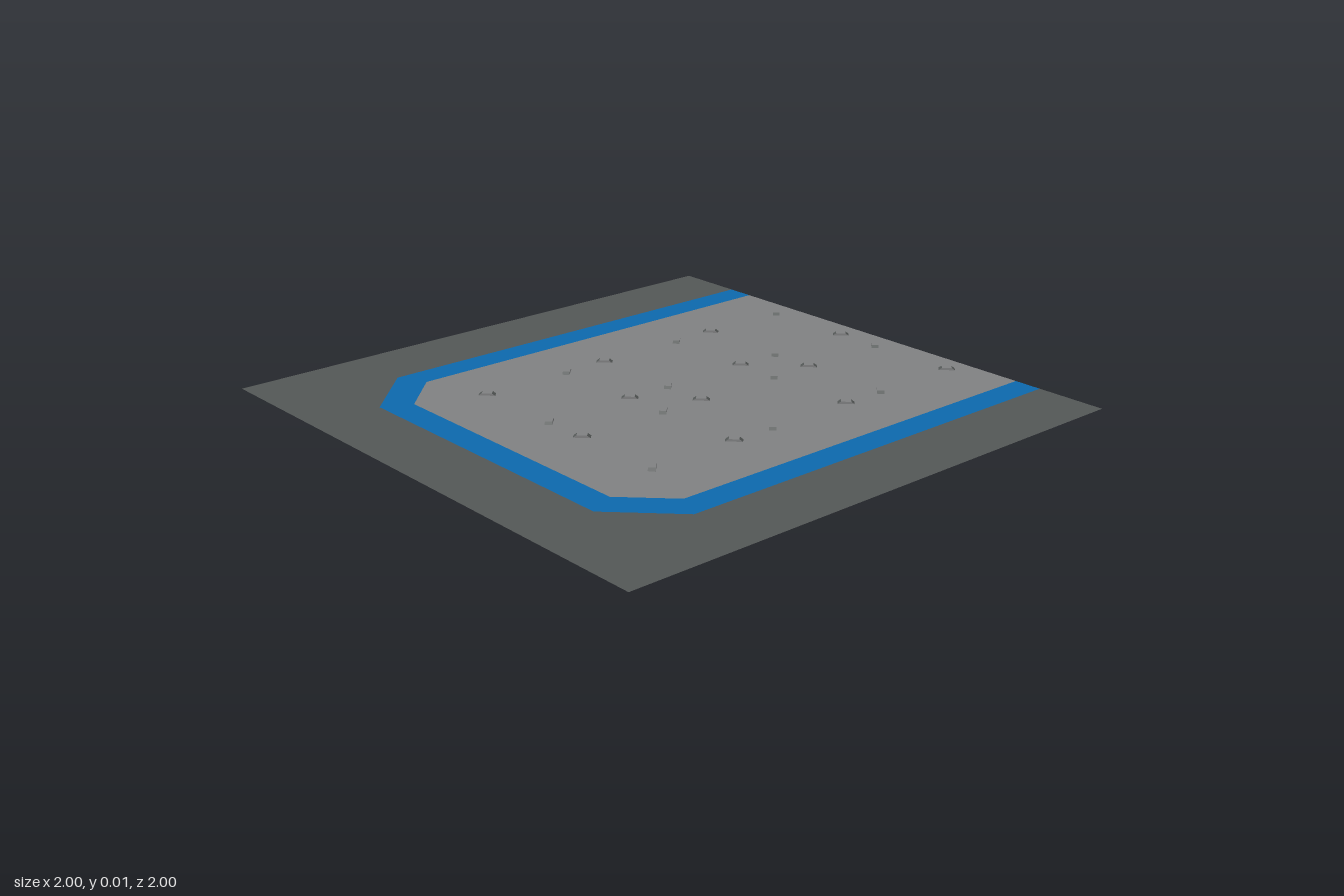
import * as THREE from 'three';

const mat = (name, color, side = THREE.DoubleSide) => {
  const m = new THREE.MeshStandardMaterial({ color, side });
  m.name = name;
  return m;
};

// Flat sheet on y = 0 from [x, z] corners (every outline is symmetric in z)
function sheet(name, points, material) {
  const shape = new THREE.Shape(points.map(([x, z]) => new THREE.Vector2(x, z)));
  const mesh = new THREE.Mesh(new THREE.ShapeGeometry(shape).rotateX(-Math.PI / 2), material);
  mesh.name = name;
  return mesh;
}

// Outline with two chamfered corners on the -x side, open towards +x
const chamfered = (edge, corner) => [
  [1, -edge], [-corner, -edge], [-edge, -corner],
  [-edge, corner], [-corner, edge], [1, edge],
];

export function createModel() {
  const model = new THREE.Group();
  model.name = 'landingPad';
  const dark = mat('dark grey', 0x535756);
  const blue = mat('blue', 0x0d68ac);
  const grey = mat('mid grey', 0x808182);

  const outer = chamfered(0.75, 0.55);
  const inner = chamfered(0.65, 0.5);

  // Surround, painted line and floor, each cut to fit the next
  model.add(sheet('surround', [[-1, -1], [1, -1], ...outer, [1, 1], [-1, 1]], dark));
  model.add(sheet('borderLine', [...outer, ...[...inner].reverse()], blue));
  model.add(sheet('floor', inner, grey));

  // Low tie-down bar with sloped, darker ends
  const bar = new THREE.BoxGeometry(0.056, 0.008, 0.024).translate(0, 0.004, 0);
  const p = bar.attributes.position;
  for (let i = 0; i < p.count; i++) {
    if (p.getY(i) > 0.004) p.setX(i, p.getX(i) * 0.6);
  }
  bar.computeVertexNormals();
  const barMaterials = [dark, dark, grey, grey, grey, grey];

  // Four bars around each floor tile, pointing at its centre
  const bars = new THREE.Group();
  bars.name = 'tieDowns';
  for (const cx of [-0.25, 0.25, 0.75]) {
    for (const cz of [-0.25, 0.25]) {
      for (const sx of [-1, 1]) {
        for (const sz of [-1, 1]) {
          const mesh = new THREE.Mesh(bar, barMaterials);
          mesh.name = 'tieDown';
          mesh.position.set(cx + sx * 0.167, 0, cz + sz * 0.167);
          mesh.rotation.y = -sx * sz * Math.PI / 4;
          bars.add(mesh);
        }
      }
    }
  }
  model.add(bars);
  return model;
}
